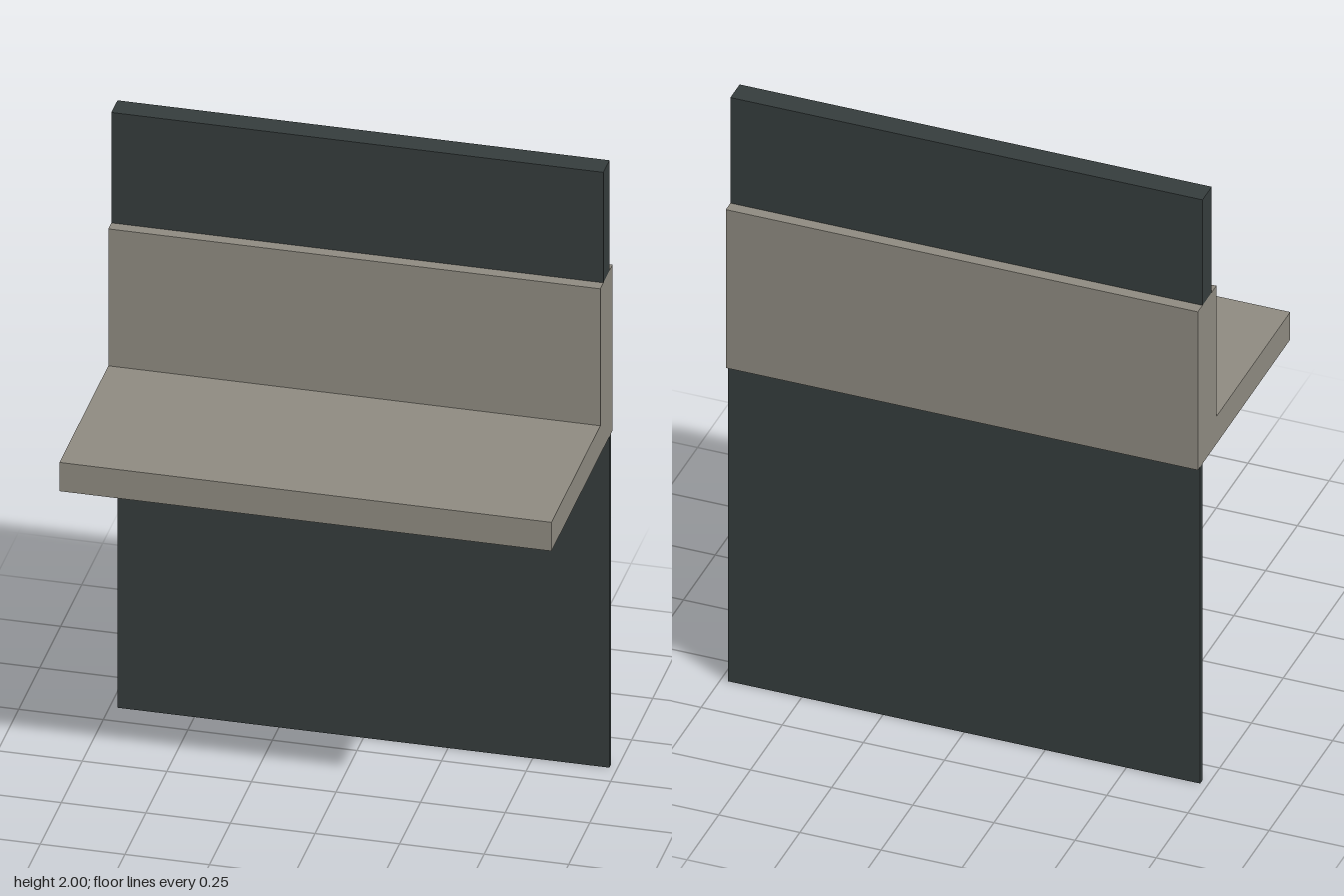
import * as THREE from 'three';

const WIDTH = 1.4545;

export function createModel() {
  const model = new THREE.Group();
  model.name = 'ledgeWallSection';

  const stone = new THREE.MeshStandardMaterial({ color: 0x8e8a80 });
  stone.name = 'warm grey stone';
  const slate = new THREE.MeshStandardMaterial({ color: 0x353c3c });
  slate.name = 'dark slate';

  // Full-width board spanning the given heights and depths
  const addBoard = (name, y0, y1, z0, z1, material) => {
    const mesh = new THREE.Mesh(new THREE.BoxGeometry(WIDTH, y1 - y0, z1 - z0), material);
    mesh.name = name;
    mesh.position.set(0, (y0 + y1) / 2, (z0 + z1) / 2);
    model.add(mesh);
  };

  addBoard('lowerPanel', 0, 1.0909, -0.3455, -0.3273, slate);
  addBoard('upperPanel', 1.6364, 2, -0.3273, -0.2545, slate);

  // L-shaped ledge: shelf and upstand drawn as one profile (z, y), extruded across the width
  const profile = new THREE.Shape([
    [-0.3636, 1.0909], [0.3636, 1.0909], [0.3636, 1.1855],
    [-0.2182, 1.1855], [-0.2182, 1.6364], [-0.3636, 1.6364],
  ].map(([z, y]) => new THREE.Vector2(z, y)));
  const geometry = new THREE.ExtrudeGeometry(profile, { depth: WIDTH, bevelEnabled: false });
  geometry.translate(0, 0, -WIDTH / 2);
  geometry.rotateY(-Math.PI / 2); // profile x becomes +z
  const ledge = new THREE.Mesh(geometry, stone);
  ledge.name = 'ledge';
  model.add(ledge);

  return model;
}
